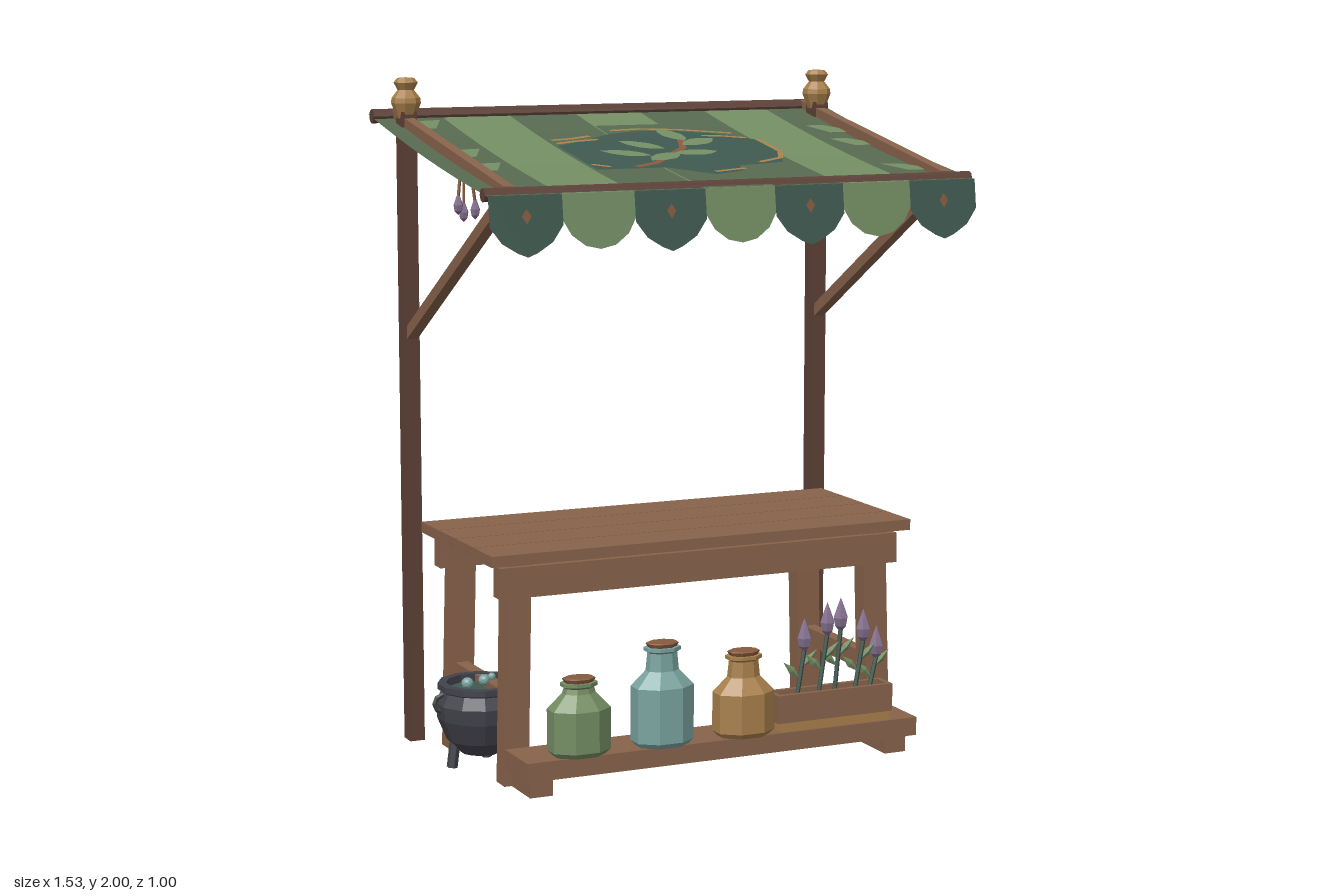
import * as THREE from 'three';

const mat = (name, color, side = THREE.FrontSide) => {
  const m = new THREE.MeshStandardMaterial({ color, side });
  m.name = name;
  return m;
};
const D = THREE.DoubleSide;
const V = (x, y, z) => new THREE.Vector3(x, y, z);

export function createModel() {
  const wood = mat('wood', 0x87624a), darkWood = mat('darkWood', 0x5c4036);
  const tan = mat('tan', 0xa9804c, D), copper = mat('copper', 0x875a3e, D);
  const darkCloth = mat('darkCloth', 0x56694f, D), lightGreen = mat('lightGreen', 0x738d63, D);
  const teal = mat('teal', 0x3f594f, D), lavender = mat('lavender', 0x84708f);
  const blueGlass = mat('blueGlass', 0x7aa39f), iron = mat('iron', 0x42424b, D);

  const model = new THREE.Group();
  model.name = 'herbStall';
  const group = (name, parent = model) => {
    const g = new THREE.Group();
    g.name = name;
    parent.add(g);
    return g;
  };
  // faceted mesh
  const add = (parent, name, geo, m) => {
    const g = geo.index ? geo.toNonIndexed() : geo;
    g.computeVertexNormals();
    const mesh = new THREE.Mesh(g, m);
    mesh.name = name;
    parent.add(mesh);
    return mesh;
  };
  // box given by its extents on each axis
  const box = (p, name, m, x0, x1, y0, y1, z0, z1) => add(p, name,
    new THREE.BoxGeometry(x1 - x0, y1 - y0, z1 - z0)
      .translate((x0 + x1) / 2, (y0 + y1) / 2, (z0 + z1) / 2), m);
  // round or square rod between two points
  const rod = (p, name, m, a, b, r, sides = 5) => {
    const d = b.clone().sub(a);
    const geo = new THREE.CylinderGeometry(r, r, d.length(), sides);
    if (sides === 4) geo.rotateY(Math.PI / 4);
    geo.applyQuaternion(new THREE.Quaternion().setFromUnitVectors(V(0, 1, 0), d.normalize()));
    return add(p, name, geo.translate(...a.clone().add(b).multiplyScalar(0.5).toArray()), m);
  };
  const lathe = (p, name, m, pts, sides, x, y, z, sz = 1) => add(p, name,
    new THREE.LatheGeometry(pts.map(q => new THREE.Vector2(...q)), sides)
      .rotateY(Math.PI / sides).scale(1, 1, sz).translate(x, y, z), m);

  // ---- frame: posts, finials, braces, rails ----
  const frame = group('frame');
  for (const s of [-1, 1]) {
    const x = s * 0.68;
    box(frame, 'post', darkWood, x - 0.023, x + 0.023, 0, 1.9, -0.4, -0.346);
    lathe(frame, 'finial', tan, [[0, 1.88], [0.027, 1.88], [0.044, 1.925], [0.042, 1.94],
      [0.024, 1.963], [0.036, 1.985], [0.025, 1.998], [0, 2]], 8, x, 0, -0.375);
    rod(frame, 'brace', wood, V(x, 1.705, 0.42), V(x, 1.24, -0.36), 0.024, 4);
    rod(frame, 'sideRail', wood, V(x, 1.888, -0.47), V(x, 1.722, 0.44), 0.022, 4);
  }
  rod(frame, 'backBar', darkWood, V(-0.757, 1.883, -0.462), V(0.757, 1.883, -0.462), 0.021, 8);
  rod(frame, 'frontBar', darkWood, V(-0.757, 1.716, 0.438), V(0.757, 1.716, 0.438), 0.019, 8);

  // ---- canopy ----
  const canopy = group('canopy');
  const clothY = z => {
    const t = (z + 0.5) / 0.975;
    return 1.888 - 0.174 * t - 0.048 * t * (1 - t);
  };
  const drapeGeo = (geo, lift) => {
    const p = geo.attributes.position;
    for (let i = 0; i < p.count; i++) p.setY(i, clothY(p.getZ(i)) + lift);
    return geo;
  };
  const W = 1.51 / 7;
  const panel = (name, m, x, w, z0, z1, lift) => add(canopy, name,
    drapeGeo(new THREE.PlaneGeometry(w, z1 - z0, 1, 8).rotateX(-Math.PI / 2)
      .translate(x, 0, (z0 + z1) / 2), lift), m);
  for (let i = 0; i < 7; i++) panel('stripe', i % 2 ? lightGreen : darkCloth, (i - 3) * W, W, -0.5, 0.475, 0);
  panel('centrePanel', darkCloth, 0, W, -0.3, 0.475, 0.003);

  // flat applique, outline given as [x, z]
  const patch = (name, m, pts, lift) => add(canopy, name, drapeGeo(new THREE.ShapeGeometry(
    new THREE.Shape(pts.map(([x, z]) => new THREE.Vector2(x, -z)))).rotateX(-Math.PI / 2), lift), m);
  const ribbon = (name, m, pts, w, lift) => {
    const n = pts.length;
    const side = k => pts.map(([x, z], i) => {
      const a = pts[Math.max(i - 1, 0)], b = pts[Math.min(i + 1, n - 1)];
      const dx = b[0] - a[0], dz = b[1] - a[1], l = Math.hypot(dx, dz);
      return [x - k * w * dz / l, z + k * w * dx / l];
    });
    patch(name, m, [...side(0.5), ...side(-0.5).reverse()], lift);
  };
  patch('emblemField', teal, [[-0.325, -0.07], [-0.2, -0.135], [-0.11, -0.19], [0, -0.215], [0.12, -0.2],
    [0.22, -0.165], [0.32, -0.08], [0.32, 0.1], [0.27, 0.2], [0.12, 0.225], [0.1, 0.29], [0, 0.325],
    [-0.11, 0.22], [-0.325, 0.22]], 0.007);
  for (const pts of [
    [[-0.325, -0.115], [-0.26, -0.125], [-0.19, -0.15]],
    [[-0.325, -0.075], [-0.26, -0.095], [-0.18, -0.11]],
    [[-0.1, -0.205], [0, -0.215], [0.12, -0.195], [0.2, -0.165], [0.27, -0.14]],
    [[0.16, -0.12], [0.22, -0.11], [0.29, -0.08]],
    [[0.317, -0.06], [0.318, 0.09], [0.28, 0.17], [0.19, 0.215]],
    [[-0.325, 0.18], [-0.28, 0.215]],
    [[0, 0.315], [0.11, 0.285]],
  ]) ribbon('emblemTrim', tan, pts, 0.016, 0.013);
  ribbon('emblemStem', copper, [[-0.2, 0.215], [-0.12, 0.175], [-0.03, 0.08], [0.04, 0.01], [0.09, -0.12]], 0.022, 0.011);
  const leafOutline = (x, z, a, len, wid) => [[-1, 0], [-0.5, 0.75], [0.1, 1], [0.6, 0.7], [1, 0],
    [0.6, -0.7], [0.1, -1], [-0.5, -0.75]].map(([u, v]) => [
    x + u * len * Math.cos(a) - v * wid * Math.sin(a), z + u * len * Math.sin(a) + v * wid * Math.cos(a)]);
  for (const [x, z, a] of [[0.065, -0.13, 1.4], [0.11, -0.04, -0.5], [-0.08, -0.02, 0.8],
    [0.045, 0.085, -0.1], [-0.17, 0.07, 0.5], [-0.07, 0.125, -0.6]])
    patch('emblemLeaf', lightGreen, leafOutline(x, z, a, 0.075, 0.034), 0.016);
  for (const [s, z] of [[-1, -0.355], [-1, -0.03], [-1, 0.135], [1, -0.19], [1, -0.03], [1, 0.3]])
    patch('edgeLeaf', lightGreen, [[0.565, -0.045], [0.63, -0.04], [0.668, 0], [0.668, 0.045],
      [0.61, 0.045]].map(([x, dz]) => [s * x, z + dz]), 0.005);

  // scalloped valance
  const flap = (name, m, pts, x, dz) => add(canopy, name, new THREE.ShapeGeometry(
    new THREE.Shape(pts.map(q => new THREE.Vector2(...q)))).rotateX(-0.13).translate(x, 1.716, 0.474 + dz), m);
  const h = W / 2;
  const pointed = [[-h, 0], [-h, -0.085], [-0.075, -0.13], [-0.03, -0.158], [0, -0.17],
    [0.03, -0.158], [0.075, -0.13], [h, -0.085], [h, 0]];
  const rounded = [[-h, 0], [-h, -0.075], [-0.085, -0.115], [-0.045, -0.145], [0, -0.155],
    [0.045, -0.145], [0.085, -0.115], [h, -0.075], [h, 0]];
  for (let i = 0; i < 7; i++) {
    flap('valanceFlap', i % 2 ? lightGreen : teal, i % 2 ? rounded : pointed, (i - 3) * W, 0);
    if (i % 2 === 0) flap('valanceDiamond', copper,
      [[0, -0.038], [-0.014, -0.058], [0, -0.08], [0.014, -0.058]], (i - 3) * W, 0.004);
  }

  // ---- drying herb bundles ----
  const bud = [[0, 0], [0.012, 0.012], [0.015, 0.03], [0.006, 0.055], [0, 0.06]];
  for (const x of [-0.5, -0.2, 0.1, 0.4]) {
    const bundle = group('herbBundle');
    [[-0.025, 0.01, 1.59], [0.028, 0.012, 1.575], [0.004, -0.022, 1.565]].forEach(([dx, dz, y]) => {
      rod(bundle, 'herbStem', copper, V(x, 1.855, -0.37), V(x + dx, y + 0.05, -0.37 + dz), 0.005, 4);
      lathe(bundle, 'herbBud', lavender, bud, 6, x + dx, y, -0.37 + dz);
    });
    rod(bundle, 'herbTie', copper, V(x, 1.79, -0.37), V(x, 1.81, -0.37), 0.014, 6);
  }

  // ---- table ----
  const table = group('table');
  for (let i = 0; i < 4; i++) {
    const z = -0.31 + i * 0.145;
    box(table, 'plank', wood, -0.673, 0.673, 0.65, 0.682, z + 0.002, z + 0.143);
  }
  box(table, 'frontApron', wood, -0.64, 0.64, 0.55, 0.64, 0.195, 0.245);
  box(table, 'backApron', wood, -0.64, 0.64, 0.55, 0.64, -0.287, -0.237);
  for (const s of [-1, 1]) {
    // legs splay outwards towards the floor
    for (const [z, dz] of [[0.2, 0.012], [-0.243, -0.008]]) {
      const geo = new THREE.BoxGeometry(0.075, 0.65, 0.062);
      const p = geo.attributes.position;
      for (let i = 0; i < p.count; i++) if (p.getY(i) < 0) {
        p.setX(i, p.getX(i) + s * 0.017);
        p.setZ(i, p.getZ(i) + dz * 0.6);
      }
      add(table, 'leg', geo.translate(s * 0.573, 0.325, z - dz * 0.3), wood);
    }
    box(table, 'sideStretcher', wood, s * 0.585 - 0.02, s * 0.585 + 0.02, 0.21, 0.265, -0.22, 0.18);
    box(table, 'shelfFoot', wood, s * 0.57 - 0.035, s * 0.57 + 0.035, 0, 0.055, 0.2, 0.375);
  }
  box(table, 'lowShelf', wood, -0.625, 0.625, 0.055, 0.11, 0.235, 0.405);

  // ---- bottles ----
  for (const [name, m, x, body, top] of [['greenBottle', lightGreen, -0.45, 0.245, 0.335],
    ['blueBottle', blueGlass, -0.19, 0.285, 0.412], ['amberBottle', tan, 0.07, 0.24, 0.362]]) {
    const b = group(name);
    lathe(b, 'glass', m, [[0, 0.11], [0.08, 0.11], [0.095, 0.125], [0.095, body], [0.05, body + 0.045],
      [0.045, top - 0.03], [0.056, top - 0.024], [0.056, top - 0.014], [0, top - 0.014]], 8, x, 0, 0.365, 0.73);
    lathe(b, 'stopper', copper, [[0.042, top - 0.016], [0.05, top - 0.003], [0.045, top], [0, top]], 8, x, 0, 0.365, 0.73);
  }

  // ---- lavender planter ----
  const planter = group('planter');
  box(planter, 'planterBase', tan, 0.175, 0.54, 0.11, 0.137, 0.325, 0.395);
  box(planter, 'planterFront', wood, 0.165, 0.545, 0.137, 0.22, 0.385, 0.4);
  box(planter, 'planterBack', wood, 0.165, 0.545, 0.137, 0.22, 0.32, 0.335);
  for (const x of [0.165, 0.53]) box(planter, 'planterEnd', wood, x, x + 0.015, 0.137, 0.22, 0.335, 0.385);
  box(planter, 'soil', darkWood, 0.18, 0.53, 0.137, 0.2, 0.335, 0.385);
  const head = [[0, 0], [0.018, 0.02], [0.023, 0.045], [0.012, 0.075], [0, 0.105]];
  [[0.25, 0.275, 0.33], [0.31, 0.34, 0.375], [0.375, 0.395, 0.38], [0.43, 0.46, 0.345], [0.49, 0.515, 0.285]]
    .forEach(([x0, x1, y], i) => {
      const z = 0.36 + (i % 2 ? 0.012 : -0.008);
      rod(planter, 'flowerStem', teal, V(x0, 0.19, z), V(x1, y + 0.01, z), 0.007, 5);
      lathe(planter, 'flowerHead', lavender, head, 6, x1, y, z);
      for (const s of [-1, 1]) add(planter, 'flowerLeaf', new THREE.OctahedronGeometry(1)
        .scale(0.012, 0.038, 0.006).rotateZ(-s * 0.8)
        .translate((x0 + x1) / 2 + s * 0.028, (0.2 + y) / 2 + 0.03 + s * 0.015, z), lightGreen);
    });

  // ---- cauldron ----
  const pot = group('cauldron');
  const px = -0.625, pz = 0.045;
  lathe(pot, 'potBody', iron, [[0, 0.055], [0.06, 0.06], [0.1, 0.1], [0.127, 0.165], [0.132, 0.21], [0.116, 0.245],
    [0.125, 0.25], [0.125, 0.268], [0.1, 0.268], [0.1, 0.235]], 12, px, 0, pz);
  add(pot, 'brew', new THREE.CircleGeometry(0.105, 12).rotateX(-Math.PI / 2).translate(px, 0.245, pz), teal);
  for (let i = 0; i < 3; i++) {
    const a = 0.5 + i * Math.PI * 2 / 3;
    const at = (r, y) => V(px + r * Math.sin(a), y, pz + r * Math.cos(a));
    rod(pot, 'potFoot', iron, at(0.09, 0.02), at(0.078, 0.11), 0.016, 6);
  }
  for (const s of [-1, 1]) add(pot, 'potEar', new THREE.TorusGeometry(0.024, 0.008, 5, 8)
    .translate(px + s * 0.118, 0.215, pz), iron);
  for (const [x, y, z, r] of [[-0.635, 0.285, 0.1, 0.017], [-0.66, 0.262, 0.03, 0.018], [-0.58, 0.272, 0.02, 0.012]])
    add(pot, 'bubble', new THREE.IcosahedronGeometry(r, 1).translate(x, y, z), blueGlass);

  return model;
}
